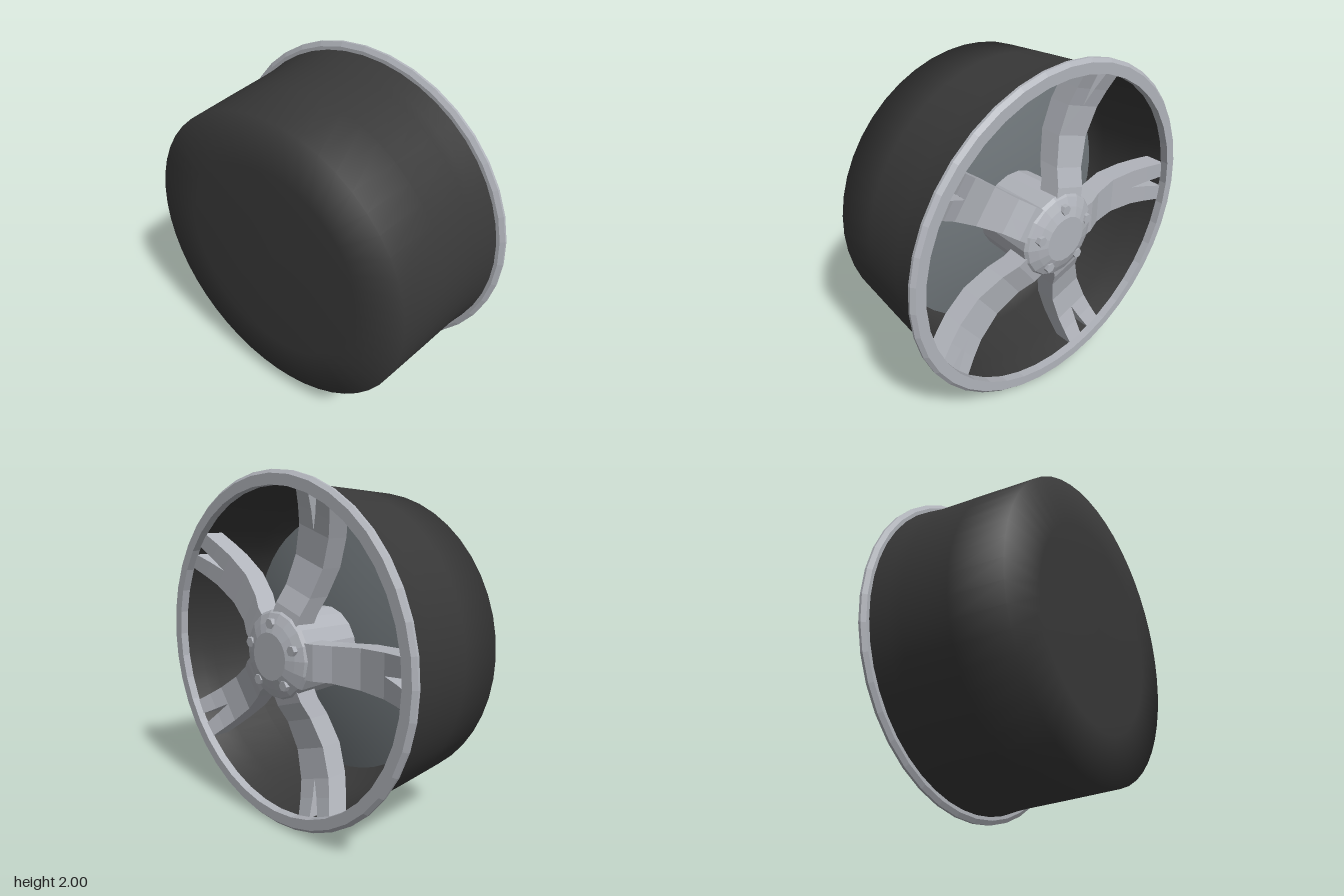
import * as THREE from 'three';

const mat = (name, color, side = THREE.FrontSide) => {
  const m = new THREE.MeshStandardMaterial({ color, side });
  m.name = name;
  return m;
};

// Turn a profile of [radius, x] points around the x axis
const turned = (points, segments) =>
  new THREE.LatheGeometry(points.map(([r, x]) => new THREE.Vector2(r, x)), segments).rotateZ(-Math.PI / 2);

const faceted = (geometry) => {
  const g = geometry.toNonIndexed();
  g.computeVertexNormals();
  return g;
};

// Stations along a spoke: radius, front x, half width, half slot
const STATIONS = [
  [0.2, 0.39, 0.1, 0], [0.28, 0.375, 0.1, 0], [0.38, 0.33, 0.1, 0], [0.55, 0.295, 0.11, 0],
  [0.72, 0.31, 0.117, 0], [0.82, 0.34, 0.123, 0.016], [0.925, 0.38, 0.13, 0.034],
];
const DEPTH = 0.13;

// One half of a forked spoke: a box bent along the stations
function halfSpoke(sign) {
  const n = STATIONS.length - 1;
  const g = new THREE.BoxGeometry(1, 1, 1, 1, n, 1);
  const p = g.attributes.position;
  for (let i = 0; i < p.count; i++) {
    const [r, front, wide, slot] = STATIONS[Math.round((p.getY(i) + 0.5) * n)];
    const edge = p.getX(i) * sign > 0 ? wide : slot;
    p.setXYZ(i, sign * edge, r, p.getZ(i) > 0 ? front : front - DEPTH);
  }
  return faceted(g.rotateY(Math.PI / 2));
}

export function createModel() {
  const model = new THREE.Group();
  model.name = 'wheelRim';
  model.position.y = 1;
  const wheel = new THREE.Group();
  wheel.name = 'wheel';
  wheel.position.y = 0;
  model.add(wheel);

  const silver = mat('silver', 0xb0b3ba);
  const black = mat('black', 0x383838, THREE.DoubleSide);
  const steel = mat('steel', 0x70777b);
  const add = (name, geometry, material, parent = wheel) => {
    const mesh = new THREE.Mesh(geometry, material);
    mesh.name = name;
    parent.add(mesh);
    return mesh;
  };

  // Barrel, closed by a shallow dome at the back
  add('barrel', turned([
    [0, -0.445], [0.3, -0.443], [0.6, -0.434], [0.89, -0.415], [0.912, -0.1],
    [0.93, 0.18], [0.937, 0.26], [0.956, 0.38],
  ], 48), black);

  // Outer lip
  add('lip', faceted(turned([
    [0.92, 0.37], [0.975, 0.37], [1, 0.385], [1, 0.4], [0.98, 0.42], [0.92, 0.42], [0.92, 0.37],
  ], 40)), silver);

  // Brake disc with a gently domed face
  add('brakeDisc', turned([[0, -0.16], [0.77, -0.16], [0.77, -0.1]], 48), steel);
  add('brakeDiscFace', turned([[0.77, -0.1], [0.6, -0.06], [0.4, -0.025], [0.2, -0.005], [0, 0]], 48), steel);

  // Hub
  add('hub', faceted(turned([
    [0.24, 0], [0.255, 0.375], [0.24, 0.395], [0.19, 0.42], [0.135, 0.44], [0, 0.44],
  ], 18)), silver);

  // Spokes and lug nuts, five of each
  const halves = [halfSpoke(1), halfSpoke(-1)];
  const nut = faceted(new THREE.CylinderGeometry(0.03, 0.03, 0.06, 6).rotateZ(-Math.PI / 2));
  for (let k = 0; k < 5; k++) {
    const turn = (k * Math.PI * 2) / 5;
    const spoke = new THREE.Group();
    spoke.name = 'spoke';
    spoke.rotation.x = turn - Math.PI / 10;
    halves.forEach((g) => add('spokeHalf', g, silver, spoke));
    wheel.add(spoke);
    add('lugNut', nut, silver).position.set(0.408, 0.183 * Math.cos(turn), 0.183 * Math.sin(turn));
  }

  const root = new THREE.Group();
  root.name = 'model';
  root.add(model);
  return root;
}
